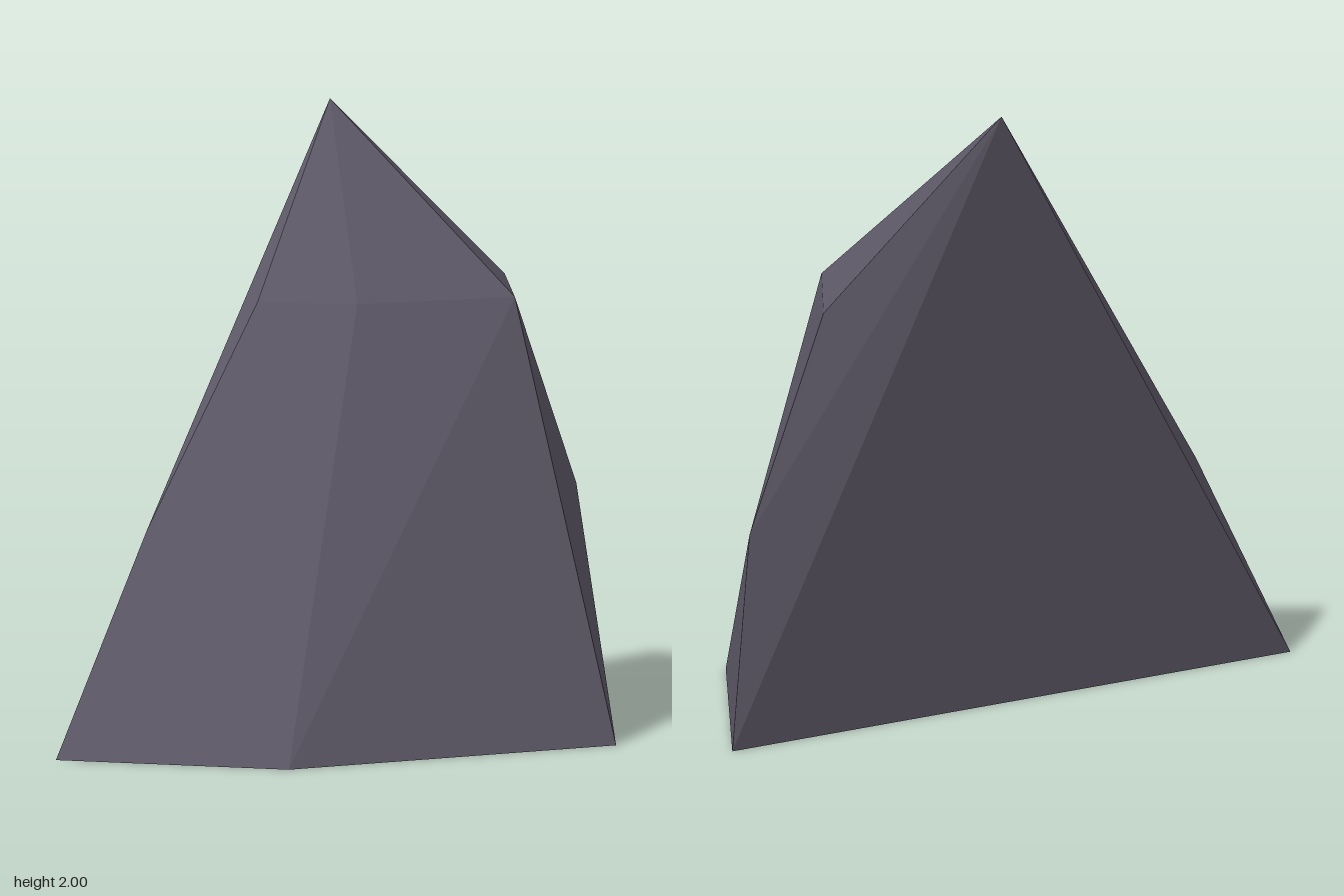
import * as THREE from 'three';
import { ConvexGeometry } from 'three/addons/geometries/ConvexGeometry.js';

// Rings of corners from the ground up: height, then [x, z] pairs
const RINGS = [
  [0, [[-1, 0.18], [-0.34, 0.572], [0.8, 0.39], [1, -0.575]]],
  [0.7, [[-0.66, 0.04], [0.935, -0.535]]],
  [1.4, [[-0.24, -0.13], [0.05, 0.01], [0.575, 0.005], [0.675, -0.46]]],
  [2, [[0.08, -0.408]]],
];

export function createModel() {
  const group = new THREE.Group();
  group.name = 'rock';

  const stone = new THREE.MeshStandardMaterial({ color: 0x5d5867 });
  stone.name = 'dark grey stone';

  // Faceted boulder: flat faces stretched over the corners, base included
  const corners = RINGS.flatMap(([y, ring]) => ring.map(([x, z]) => new THREE.Vector3(x, y, z)));
  const boulder = new THREE.Mesh(new ConvexGeometry(corners), stone);
  boulder.name = 'boulder';
  group.add(boulder);

  return group;
}
